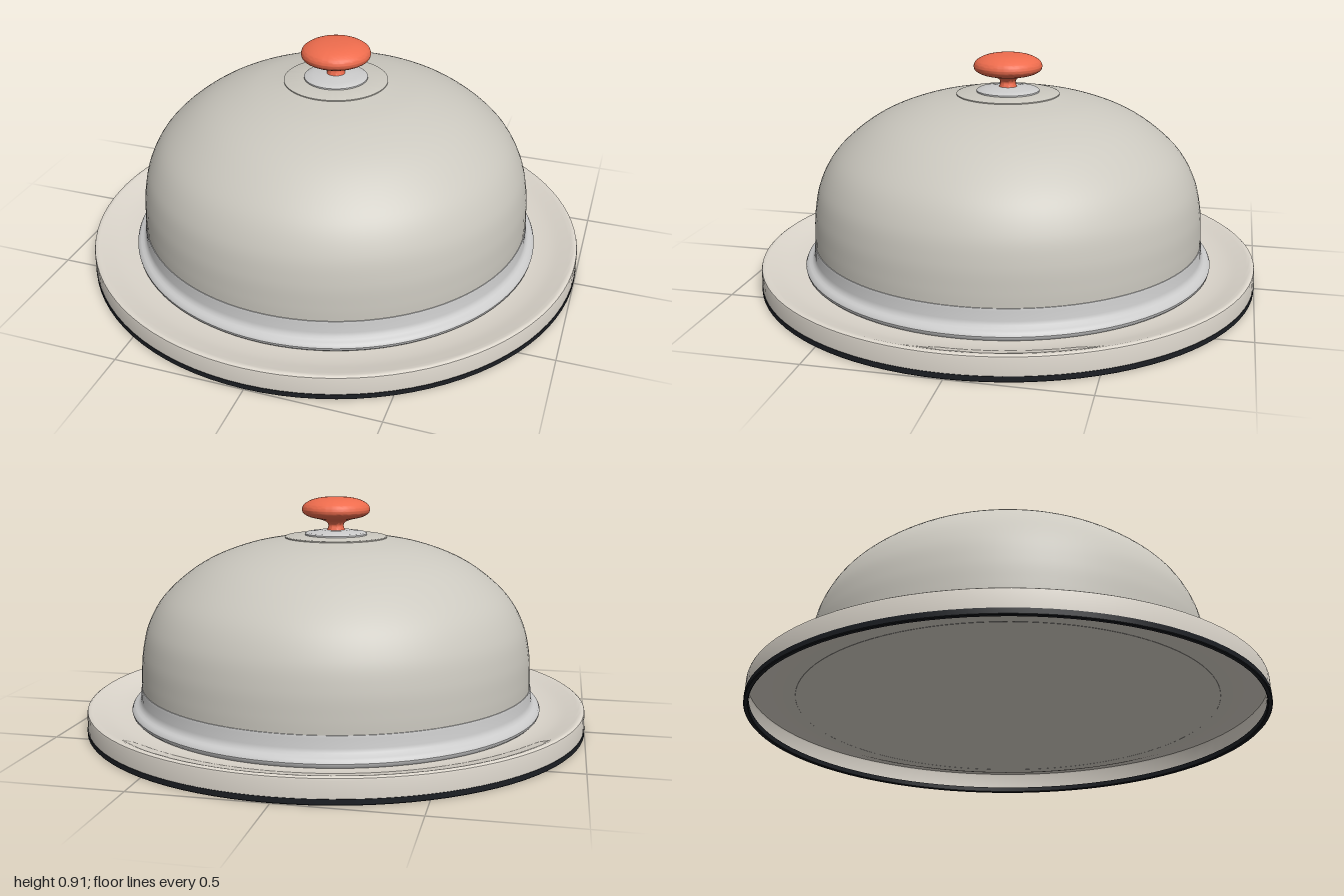
import * as THREE from 'three';
import { toCreasedNormals } from 'three/addons/utils/BufferGeometryUtils.js';

const SEGMENTS = 96;
const vectors = (points) => points.map(([r, y]) => new THREE.Vector2(r, y));
const smooth = (points, n) => new THREE.SplineCurve(vectors(points)).getPoints(n)
  .map((p) => new THREE.Vector2(Math.max(p.x, 0), p.y));

// Turned part; profiles run from the lower outside up and in to the axis
function turned(name, profile, color, crease = 0.6) {
  const geometry = toCreasedNormals(new THREE.LatheGeometry(profile, SEGMENTS), crease);
  const material = new THREE.MeshStandardMaterial({ color, side: THREE.DoubleSide });
  const mesh = new THREE.Mesh(geometry, material);
  mesh.name = name;
  return mesh;
}

export function createModel() {
  const group = new THREE.Group();
  group.name = 'domedServingDish';

  // Thin plate with an upright skirt, rolled rim and shallow dished well, hollow below
  const well = smooth([[0.98, 0.094], [0.95, 0.085], [0.9, 0.071], [0.85, 0.063], [0.8, 0.06]], 14);
  group.add(turned('plate', [
    ...vectors([[0.998, 0.015], [0.998, 0.083], [0.996, 0.09], [0.99, 0.094]]),
    ...well, new THREE.Vector2(0, 0.06),
  ], 0xdcd6cc));

  // Dark foot band under the skirt
  group.add(turned('footBand', vectors([
    [0.982, 0.022], [0.982, 0.003], [0.985, 0], [0.997, 0], [1, 0.003], [1, 0.022], [0.982, 0.022],
  ]), 0x1c1f24));

  // Flared collar the dome stands in
  group.add(turned('domeCollar', vectors([
    [0.815, 0.06], [0.823, 0.068], [0.825, 0.078], [0.82, 0.088], [0.81, 0.094], [0.8, 0.098],
    [0.792, 0.106], [0.788, 0.12], [0.787, 0.155], [0.785, 0.165], [0.775, 0.168],
  ]), 0xcccccc));

  // Dome
  group.add(turned('dome', smooth([
    [0.783, 0.16], [0.782, 0.22], [0.775, 0.31], [0.751, 0.41], [0.695, 0.51],
    [0.6, 0.6], [0.49, 0.668], [0.35, 0.719], [0.205, 0.747],
  ], 48), 0xcbc8bf));

  // Shallow cap closing the dome
  group.add(turned('domeCap', vectors([
    [0.205, 0.745], [0.205, 0.751], [0.2, 0.753], [0.1, 0.759], [0, 0.76],
  ]), 0xcbc8bf));

  // Stepped washer under the knob
  group.add(turned('knobWasher', vectors([
    [0.125, 0.75], [0.125, 0.763], [0.118, 0.768], [0.09, 0.771], [0.06, 0.777], [0, 0.778],
  ]), 0xcccccc));

  // Mushroom knob with a waisted stem
  group.add(turned('knob', [
    ...smooth([[0.042, 0.77], [0.032, 0.785], [0.034, 0.805], [0.06, 0.818], [0.105, 0.829], [0.13, 0.843], [0.136, 0.857]], 24),
    ...smooth([[0.136, 0.861], [0.128, 0.878], [0.1, 0.895], [0.06, 0.905], [0, 0.909]], 20),
  ], 0xee6c4d, 0.9));

  return group;
}
